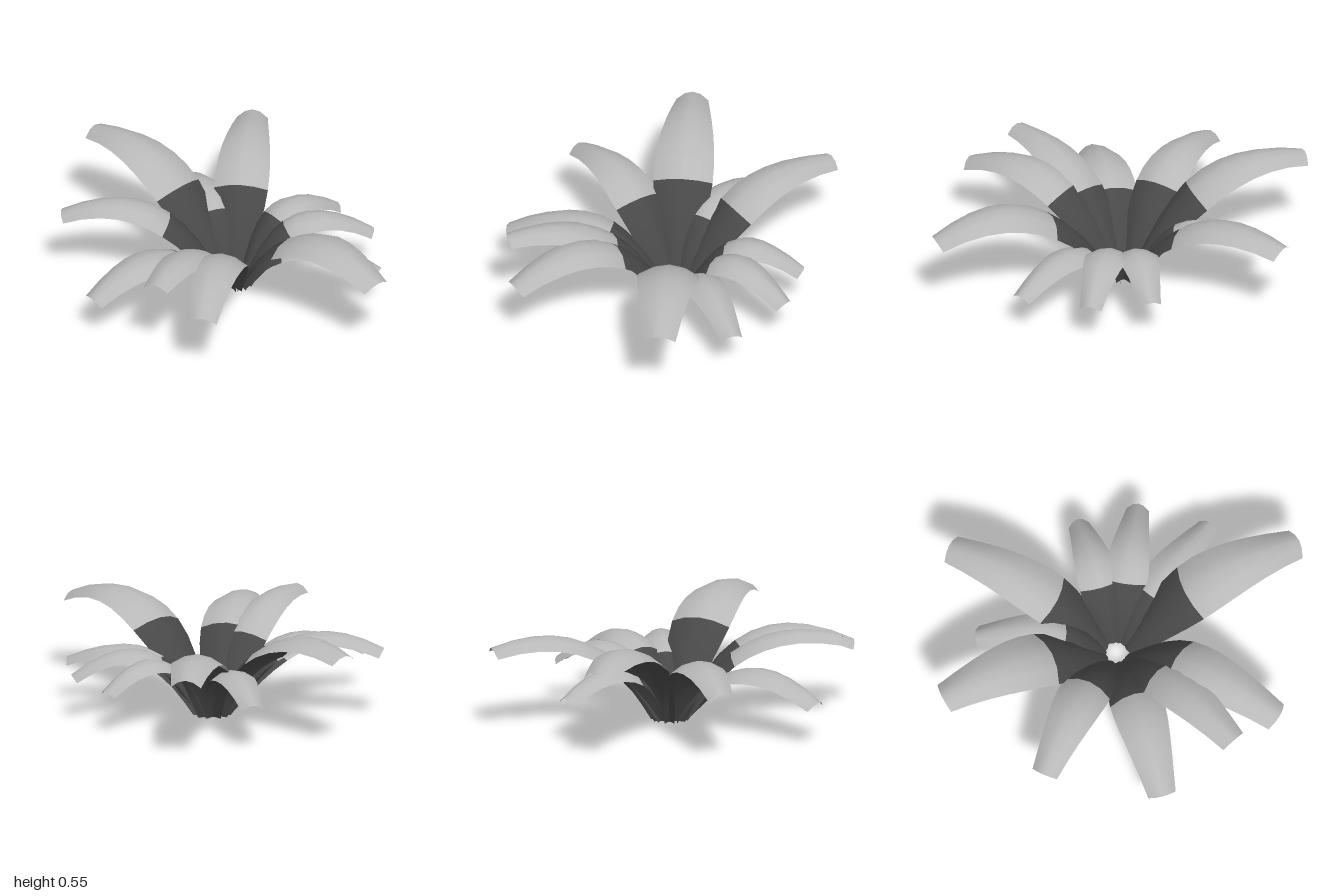
import * as THREE from 'three';

const ROWS = 10, COLS = 4, DARK_ROWS = 4;
const CX = 0.065, CZ = -0.022; // middle of the rosette

// half width along the leaf, for the root, widest and tip values
function halfWidth(t, wide, tip) {
  const root = 0.055;
  if (t < 0.45) return root + (wide - root) * Math.sin((t / 0.45) * Math.PI / 2);
  const s = (t - 0.45) / 0.55;
  return wide + (tip - wide) * s * s * (1.7 - 0.7 * s);
}

// arched strip bent along a curve; the first rows use the dark material
function leafGeometry({ x, z, peak, tipY, bend, wide, tip }) {
  const dx = x - CX, dz = z - CZ, len = Math.hypot(dx, dz);
  const dir = [dx / len, dz / len];
  const ctrlY = peak + Math.sqrt(peak * peak - peak * tipY);
  const curve = new THREE.QuadraticBezierCurve(
    new THREE.Vector2(0.05, 0), new THREE.Vector2(bend, ctrlY), new THREE.Vector2(len, tipY));
  const pos = [], index = [];
  for (let i = 0; i <= ROWS; i++) {
    const t = i / ROWS, p = curve.getPoint(t), tan = curve.getTangent(t);
    const w = halfWidth(t, wide, tip);
    const arch = 0.032 + 0.2 * (w - 0.055) + 0.005 * t;
    for (let j = 0; j <= COLS; j++) {
      const u = (j / COLS) * 2 - 1, drop = arch * u * u;
      const r = p.x + tan.y * drop, y = Math.max(0, p.y - tan.x * drop);
      pos.push(CX + dir[0] * r - dir[1] * u * w, y, CZ + dir[1] * r + dir[0] * u * w);
    }
  }
  for (let i = 0; i < ROWS; i++) {
    for (let j = 0; j < COLS; j++) {
      const a = i * (COLS + 1) + j, b = a + 1, c = a + COLS + 1, d = c + 1;
      index.push(a, b, c, b, d, c);
    }
  }
  const g = new THREE.BufferGeometry();
  g.setAttribute('position', new THREE.Float32BufferAttribute(pos, 3));
  g.setIndex(index);
  const split = DARK_ROWS * COLS * 6;
  g.addGroup(0, split, 0);
  g.addGroup(split, index.length - split, 1);
  g.computeVertexNormals();
  return g;
}

export function createModel() {
  const model = new THREE.Group();
  model.name = 'rosettePlant';
  const dark = new THREE.MeshStandardMaterial({ color: 0x484848, side: THREE.DoubleSide });
  dark.name = 'dark leaf base';
  const light = new THREE.MeshStandardMaterial({ color: 0xb8b8b8, side: THREE.DoubleSide });
  light.name = 'light leaf blade';

  // tip position, heights, bend and half widths of each leaf
  const leaves = {
    backLeaf: { x: 0.012, z: -1.0, peak: 0.553, tipY: 0.515, bend: 0.39, wide: 0.152, tip: 0.08 },
    frontLeaf: { x: 0.12, z: 1.0, peak: 0.525, tipY: 0.435, bend: 0.42, wide: 0.157, tip: 0.082 },
    backLeftLeaf: { x: 0.77, z: -0.645, peak: 0.49, tipY: 0.45, bend: 0.34, wide: 0.138, tip: 0.077 },
    backRightLeaf: { x: -0.525, z: -0.67, peak: 0.455, tipY: 0.38, bend: 0.34, wide: 0.128, tip: 0.068 },
    rightLeaf: { x: -0.815, z: -0.135, peak: 0.345, tipY: 0.225, bend: 0.38, wide: 0.135, tip: 0.072 },
    rightFrontLeaf: { x: -0.755, z: 0.28, peak: 0.485, tipY: 0.465, bend: 0.31, wide: 0.126, tip: 0.068 },
    frontRightLeaf: { x: -0.69, z: 0.555, peak: 0.46, tipY: 0.36, bend: 0.36, wide: 0.14, tip: 0.077 },
    leftLeaf: { x: 0.725, z: 0.04, peak: 0.35, tipY: 0.23, bend: 0.26, wide: 0.108, tip: 0.054 },
    leftFrontLeaf: { x: 0.68, z: 0.355, peak: 0.36, tipY: 0.24, bend: 0.26, wide: 0.113, tip: 0.057 },
    frontLeftLeaf: { x: 0.45, z: 0.655, peak: 0.32, tipY: 0.225, bend: 0.26, wide: 0.11, tip: 0.056 },
    smallBackLeaf: { x: 0.348, z: -0.68, peak: 0.34, tipY: 0.245, bend: 0.25, wide: 0.108, tip: 0.057 },
  };
  for (const [name, spec] of Object.entries(leaves)) {
    const leaf = new THREE.Mesh(leafGeometry(spec), [dark, light]);
    leaf.name = name;
    model.add(leaf);
  }
  return model;
}
